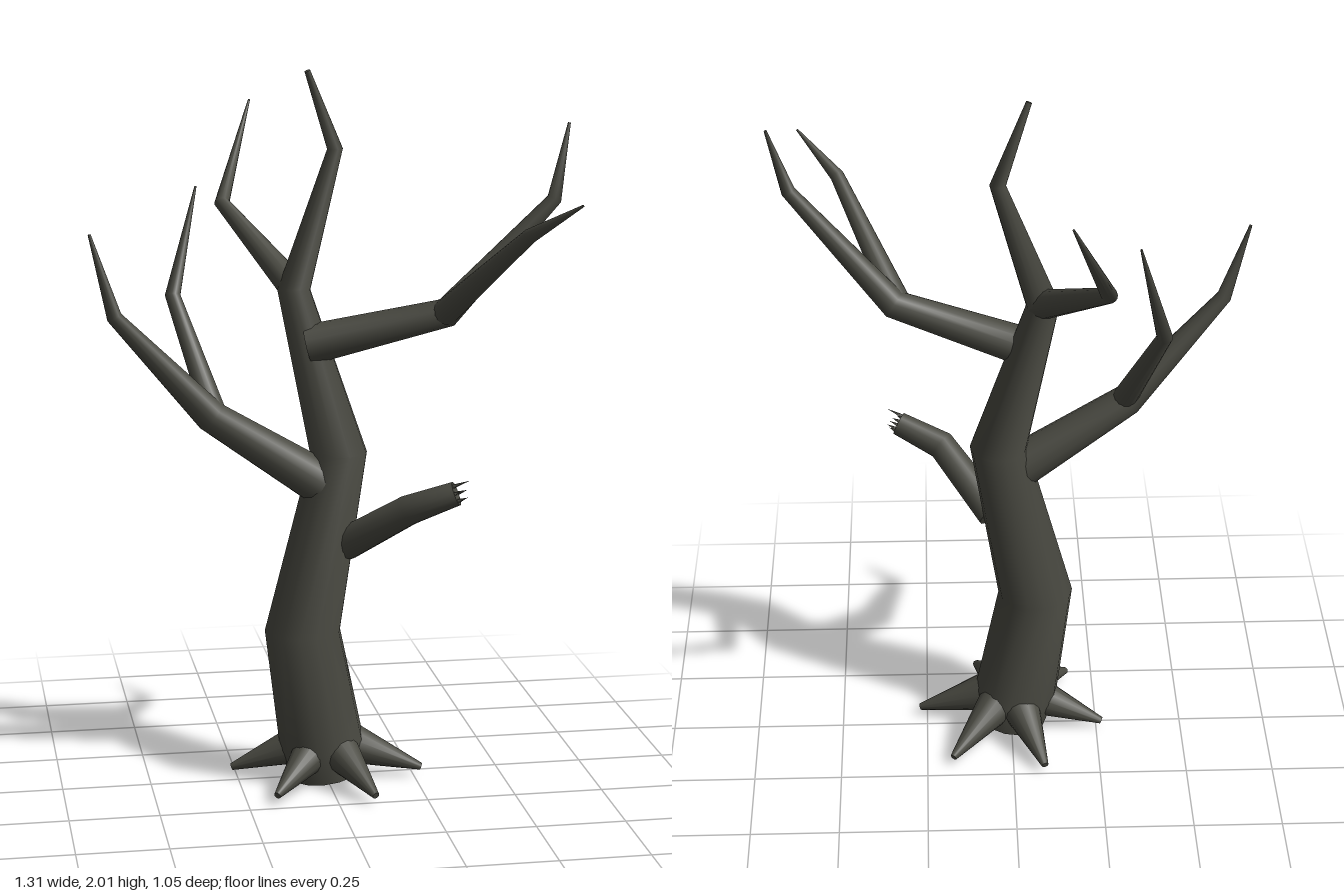
import * as THREE from 'three';

const SIDES = 14;
const bark = new THREE.MeshStandardMaterial({ color: 0x4a4a42 });
bark.name = 'dark bark';

// Tapered limb swept through points [x, y, z, radius], closed at both ends
function limb(name, points) {
  const p = points.map(([x, y, z]) => new THREE.Vector3(x, y, z));
  const last = p.length - 1;
  const position = [];
  const index = [];
  const dirs = p.slice(1).map((q, i) => q.clone().sub(p[i]).normalize());
  let side = null;
  p.forEach((c, i) => {
    const t = dirs[Math.max(i - 1, 0)].clone().add(dirs[Math.min(i, last - 1)]).normalize();
    if (!side) side = new THREE.Vector3(Math.abs(t.x) > 0.9 ? 0 : 1, 0, Math.abs(t.x) > 0.9 ? 1 : 0);
    side.addScaledVector(t, -side.dot(t)).normalize();
    const up = t.clone().cross(side);
    for (let j = 0; j < SIDES; j++) {
      const a = (j / SIDES) * Math.PI * 2;
      const v = c.clone()
        .addScaledVector(side, Math.cos(a) * points[i][3])
        .addScaledVector(up, Math.sin(a) * points[i][3]);
      position.push(v.x, v.y, v.z);
    }
  });
  for (let i = 0; i < last; i++) {
    for (let j = 0; j < SIDES; j++) {
      const a = i * SIDES + j;
      const b = i * SIDES + ((j + 1) % SIDES);
      index.push(a, b, b + SIDES, a, b + SIDES, a + SIDES);
    }
  }
  // End caps have their own vertices so their rims stay sharp
  for (const ring of [0, last]) {
    const start = position.length / 3;
    position.push(...position.slice(ring * SIDES * 3, (ring + 1) * SIDES * 3));
    for (let j = 1; j < SIDES - 1; j++) {
      if (ring) index.push(start, start + j, start + j + 1);
      else index.push(start, start + j + 1, start + j);
    }
  }
  const g = new THREE.BufferGeometry();
  g.setAttribute('position', new THREE.Float32BufferAttribute(position, 3));
  g.setIndex(index);
  g.computeVertexNormals();
  const mesh = new THREE.Mesh(g, bark);
  mesh.name = name;
  return mesh;
}

export function createModel() {
  const tree = new THREE.Group();
  tree.name = 'deadTree';

  // Crooked trunk up to its thin top
  tree.add(limb('trunk', [
    [0, 0.005, 0.015, 0.1], [-0.013, 0.1, 0.017, 0.12], [-0.07, 0.44, 0.037, 0.107],
    [0.036, 0.94, 0.017, 0.08], [-0.085, 1.4, -0.01, 0.046],
    [0.038, 1.78, -0.06, 0.022], [-0.045, 1.997, -0.02, 0.008],
  ]));

  // Main branches and their forks
  tree.add(limb('rightBranch', [
    [0, 0.85, 0.03, 0.065], [-0.325, 1.065, 0.05, 0.045],
    [-0.59, 1.357, 0.105, 0.021], [-0.652, 1.58, 0.09, 0.004],
  ]));
  tree.add(limb('rightFork', [
    [-0.315, 1.07, 0.045, 0.035], [-0.405, 1.37, -0.15, 0.022], [-0.33, 1.665, -0.217, 0.003],
  ]));
  tree.add(limb('leftBranch', [
    [-0.05, 1.25, 0.02, 0.056], [0.32, 1.345, 0.11, 0.041],
    [0.6, 1.66, 0.175, 0.02], [0.65, 1.86, 0.127, 0.004],
  ]));
  tree.add(limb('leftFork', [
    [0.31, 1.345, 0.12, 0.037], [0.475, 1.595, 0.41, 0.02], [0.588, 1.687, 0.523, 0.003],
  ]));
  tree.add(limb('backBranch', [
    [-0.08, 1.4, -0.01, 0.042], [-0.24, 1.6, -0.345, 0.022], [-0.136, 1.875, -0.524, 0.003],
  ]));

  // Snapped branch with splinters on its broken end
  tree.add(limb('brokenBranch', [
    [0.05, 0.69, 0.06, 0.047], [0.195, 0.822, 0.225, 0.042], [0.318, 0.873, 0.266, 0.034],
  ]));
  const axis = new THREE.Vector3(0.123, 0.051, 0.041).normalize();
  const turn = new THREE.Quaternion().setFromUnitVectors(new THREE.Vector3(0, 1, 0), axis);
  [0.02, 0.03, 0.018, 0.05, 0.022, 0.028].forEach((height, i) => {
    const a = (i / 6) * Math.PI * 2;
    const splinter = new THREE.Mesh(new THREE.ConeGeometry(0.006, height, 5), bark);
    splinter.name = 'splinter';
    splinter.position.set(Math.cos(a) * 0.024, height / 2 - 0.001, Math.sin(a) * 0.024)
      .applyQuaternion(turn).add(new THREE.Vector3(0.318, 0.873, 0.266));
    splinter.quaternion.copy(turn);
    tree.add(splinter);
  });

  // Pointed roots around the foot
  const tips = [[-0.265, -0.035], [-0.17, 0.22], [0.1, 0.265], [0.27, 0.05], [0.175, -0.2], [-0.09, -0.245]];
  for (const [x, z] of tips) {
    tree.add(limb('root', [
      [x * 0.27, 0.09, z * 0.27 + 0.01, 0.058], [x, 0.018, z, 0.01],
    ]));
  }
  return tree;
}
